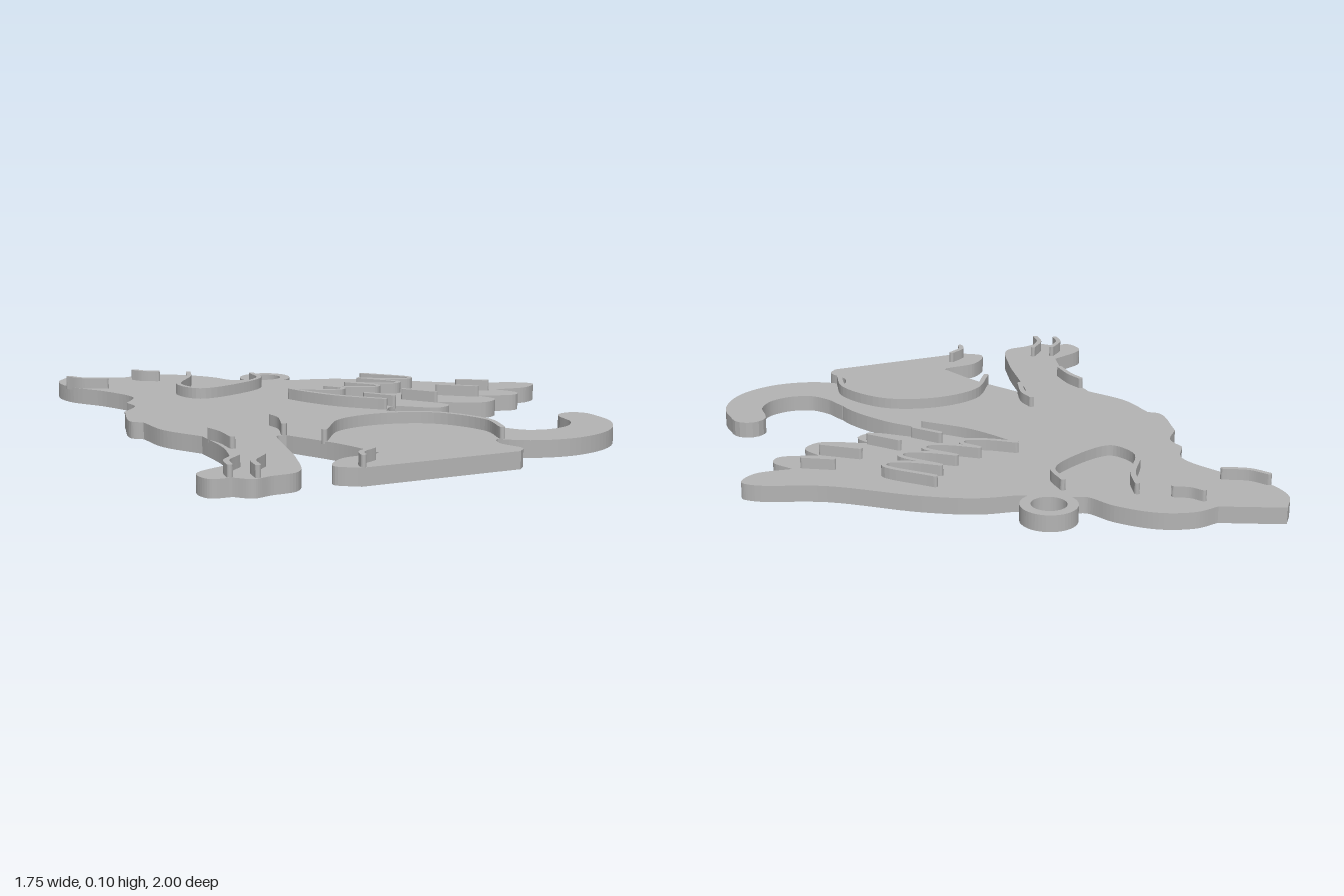
import * as THREE from 'three';

const BASE_TOP = 0.06, RIDGE_TOP = 0.1;

// Smooth curve through flat [x, z, x, z, ...] hundredths, in shape space (y = -z)
function trace(flat) {
  const pts = [];
  for (let i = 0; i < flat.length; i += 2) {
    pts.push(new THREE.Vector3(flat[i] / 100, -flat[i + 1] / 100, 0));
  }
  const curve = pts.length === 2 ? new THREE.LineCurve3(...pts) : new THREE.CatmullRomCurve3(pts);
  return curve.getPoints(pts.length === 2 ? 1 : (pts.length - 1) * 8)
    .map((p) => new THREE.Vector2(p.x, p.y));
}

// Closed outline of smooth runs; each run continues from the end of the one before
function outline(runs) {
  return new THREE.Shape(runs.flatMap((run, i) => {
    const previous = runs.at(i - 1);
    return trace([...previous.slice(-2), ...run]).slice(1);
  }));
}

// Round-ended band along a curve, its half width going from h0 to h1
function band(flat, h0, h1 = h0) {
  const pts = trace(flat), end = pts.length - 1, left = [], right = [];
  const capStart = [], capEnd = [];
  const around = (p, angle, h) =>
    new THREE.Vector2(p.x + h * Math.cos(angle), p.y + h * Math.sin(angle));
  pts.forEach((p, i) => {
    const d = pts[Math.min(i + 1, end)].clone().sub(pts[Math.max(i - 1, 0)]).angle();
    const h = THREE.MathUtils.lerp(h0, h1, i / end);
    left.push(around(p, d + Math.PI / 2, h));
    right.unshift(around(p, d - Math.PI / 2, h));
    for (let k = 1; k < 8; k++) {
      const turn = Math.PI / 2 - (k * Math.PI) / 8;
      if (i === 0) capStart.push(around(p, d + Math.PI + turn, h));
      if (i === end) capEnd.push(around(p, d + turn, h));
    }
  });
  return new THREE.Shape([...left, ...capEnd, ...right, ...capStart]);
}

export function createModel() {
  const grey = new THREE.MeshStandardMaterial({ color: 0xb4b4b4 });
  grey.name = 'plain grey';
  const model = new THREE.Group();
  model.name = 'wingedDogPendant';

  // Lay a shape flat between two heights
  const slab = (name, shape, bottom, top) => {
    const geo = new THREE.ExtrudeGeometry(shape, {
      depth: top - bottom, bevelEnabled: false, curveSegments: 24,
    });
    geo.rotateX(-Math.PI / 2).translate(0, bottom, 0);
    const mesh = new THREE.Mesh(geo, grey);
    mesh.name = name;
    model.add(mesh);
  };
  const plate = (name, shape) => slab(name, shape, 0, BASE_TOP);
  const ridge = (name, path) => slab(name, band(path, 0.0095), BASE_TOP - 0.01, RIDGE_TOP);

  // Head, torso and legs
  plate('body', outline([
    [-67, -96, -55, -90.5], // muzzle
    [-46, -92, -34, -88, -23, -77, -18, -67, -15, -65.5], // skull and nape
    [4, -56.5],
    [10, 17.5],
    [21, 31, 30, 52, 28, 70, 20, 80], // back
    [19, 85, 22, 94, 19, 98], // rump
    [-38, 99],
    [-45, 93, -38, 84, -24, 81.5, -24.5, 78], // hind paw
    [-29.5, 63.5, -40, 43.5], // belly
    [-43, 43, -46, 54, -51, 78, -58, 96, -68, 98], // back of foreleg
    [-74, 99.5, -79, 95], // front toes
    [-86, 94, -87, 85, -72, 77],
    [-66.5, 54, -66.5, 33.5], // front of foreleg
    [-75, 18, -77, 2.5], // chest
    [-80.5, -1, -77, -19.5], // fur tufts
    [-70.5, -28, -71, -36],
    [-65.5, -46, -71, -62, -81, -78, -82, -91, -76, -100], // throat and jaw
  ]));

  // Wing with feathered trailing edge
  plate('wing', outline([
    [17, -54, 34, -45, 61, -24.5, 84, -14.5, 87.5, -10, 81, -4, 67.5, -4.5],
    [72, 4, 69, 8.3, 55, 5],
    [57.5, 13, 51, 17.5, 34, 10],
    [36, 17, 30, 20, 17, 10.5],
    [14, 12, 10, 17.5],
    [-5, -20],
    [4, -56.5],
  ]));

  // Curled tail
  plate('tail', band([67.5, 54, 66.5, 65, 59, 75, 46, 79.3, 33, 76, 25, 67, 21, 57], 0.065, 0.1));

  // Hanging ring
  const ring = new THREE.Shape().absarc(-0.034, 0.674, 0.1, 0, Math.PI * 2);
  ring.holes.push(new THREE.Path().absarc(-0.034, 0.674, 0.062, 0, Math.PI * 2));
  plate('hangingRing', ring);

  // Raised face and body lines
  ridge('mouthLine', [-81, -79.5, -77, -73.5, -69, -69]);
  ridge('closedEye', [-53, -84, -50.5, -80, -45.5, -77]);
  ridge('earLine', [-35, -70, -38, -61, -47.5, -45, -43, -33.5, -24, -39, -14, -47, -13, -57.5]);
  ridge('chestLine', [-65.5, 39, -64, 46, -64, 55.5]);
  ridge('elbowLine', [-38, 25.5, -37.5, 32, -40.5, 42.5]);
  ridge('thighLine', [-32, 57, -21, 43, -3, 39, 15, 45.5, 25.5, 64, 23.5, 78]);

  // Raised toe lines: start and length
  [[-79.5, 94, 12], [-72, 98, 13.5], [-37, 98, 8]].forEach(([x, z, h]) =>
    ridge('toeLine', [x, z, x + 1.2, z - h / 2, x + 7, z - h]));

  // Raised scallops climbing the wing, each ending where the next begins
  const roots = [[-12.5, -18.5], [2, -18.5], [12.5, -22.5], [21, -29.5], [26.5, -38.5]];
  roots.slice(0, -1).forEach(([x, z], i) => ridge('wingScallop',
    [x, z, x + 9, z + 6.5, x + 16.5, z + 9, x + 18.5, z + 6.5, ...roots[i + 1]]));
  ridge('wingFrontLine', [...roots[0], -9.5, -11, -2, 2, 10.5, 15]);

  // Raised feather quills
  [[9.5, 1, 16.5, 10], [26, -0.5, 34, 9.5], [42, -3.5, 53.5, 5.5], [54, -10, 63.5, -4.5]]
    .forEach((path) => ridge('featherQuill', path));

  return model;
}
